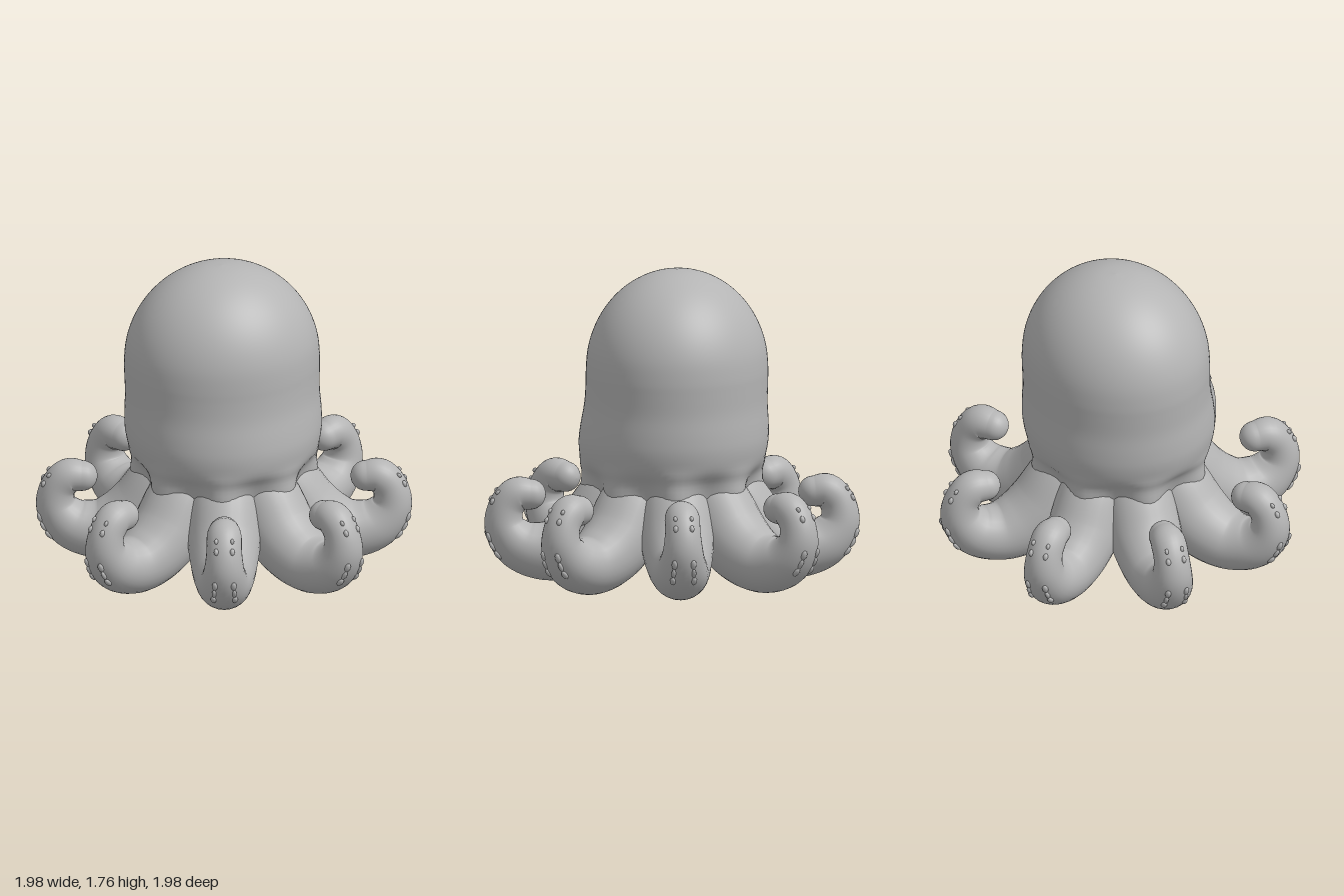
import * as THREE from 'three';
import { mergeGeometries } from 'three/addons/utils/BufferGeometryUtils.js';

const { smoothstep, lerp } = THREE.MathUtils;

// Smooth skin over closed rings; point(i, angle) gives the vertex of ring i
function skin(rows, cols, point) {
  const pos = [], index = [];
  for (let i = 0; i < rows; i++) {
    for (let j = 0; j < cols; j++) {
      pos.push(...point(i, (j / cols) * Math.PI * 2).toArray());
      if (i === rows - 1) continue;
      const k = (j + 1) % cols;
      const a = i * cols + j, b = i * cols + k;
      index.push(a, b, b + cols, a, b + cols, a + cols);
    }
  }
  const g = new THREE.BufferGeometry();
  g.setAttribute('position', new THREE.Float32BufferAttribute(pos, 3));
  g.setIndex(index);
  g.computeVertexNormals();
  return g;
}

// Head and body: slightly oval, with eight ridges low down that run into the arms
function bodyGeometry() {
  const profile = [
    [0.001, 0.24], [0.2, 0.25], [0.36, 0.3], [0.42, 0.4], [0.44, 0.5], [0.475, 0.6],
    [0.53, 0.68], [0.555, 0.78], [0.558, 0.88], [0.552, 1.0], [0.555, 1.12],
  ].map(([r, y]) => new THREE.Vector2(r, y));
  for (let k = 0; k <= 8; k++) {
    const a = (k / 8) * Math.PI / 2;
    profile.push(new THREE.Vector2(Math.max(0.556 * Math.cos(a), 0.001), 1.2 + 0.56 * Math.sin(a)));
  }
  const points = new THREE.SplineCurve(profile).getPoints(72);
  return skin(points.length, 96, (i, a) => {
    const { x, y } = points[i];
    const high = smoothstep(y, 0.55, 1.2);
    const ridge = (1 - Math.cos(8 * a)) / 2 * (1 - smoothstep(y, 0.48, 0.72));
    const r = Math.max(x, 0.001) * (1 + 0.2 * ridge);
    return new THREE.Vector3(r * Math.sin(a), y, r * Math.cos(a) * lerp(0.97, 0.91, high) - 0.03 * high);
  });
}

// Arm centre line: distance from the axis, height, thickness
const armPath = new THREE.CatmullRomCurve3([
  [0.2, 0.62, 0.16], [0.34, 0.45, 0.195], [0.45, 0.29, 0.205], [0.59, 0.195, 0.187],
  [0.72, 0.165, 0.165], [0.86, 0.205, 0.143], [0.94, 0.31, 0.115], [0.93, 0.42, 0.1],
  [0.87, 0.487, 0.098], [0.795, 0.487, 0.086],
].map(p => new THREE.Vector3(...p)));

// Centre, tangent, outward normal and thickness along an arm that points to +z
function armFrame(t) {
  const p = armPath.getPoint(t);
  const d = armPath.getPoint(Math.min(t + 0.002, 1)).sub(armPath.getPoint(Math.max(t - 0.002, 0)));
  const tangent = new THREE.Vector3(0, d.y, d.x).normalize();
  const normal = new THREE.Vector3(0, -tangent.z, tangent.y);
  return { center: new THREE.Vector3(0, p.y, p.x), tangent, normal, radius: p.z };
}

const side = new THREE.Vector3(1, 0, 0);

// Tapering curled arm with a round tip
function armGeometry() {
  const steps = 54, cap = 8;
  return skin(steps + cap + 1, 28, (i, a) => {
    const f = armFrame(Math.min(i / steps, 1));
    let r = f.radius;
    if (i > steps) {
      const c = ((i - steps) / cap) * Math.PI / 2;
      f.center.addScaledVector(f.tangent, r * Math.sin(c));
      r = Math.max(r * Math.cos(c), 0.0005);
    }
    return f.center.addScaledVector(f.normal, r * Math.cos(a)).addScaledVector(side, r * Math.sin(a));
  });
}

// Two rows of small bumps on the outer side of the curl
function bumpsGeometry() {
  const spots = [[5.33, 0.017, 0.03], [5.6, 0.013, 0.032], [5.87, 0.017, 0.03],
    [7.0, 0.014, 0.02], [7.4, 0.011, 0.016]];
  const parts = [];
  for (const s of [-1, 1]) {
    for (const [at, width, length] of spots) {
      const f = armFrame(at / 9);
      const out = f.normal.clone().multiplyScalar(Math.cos(0.47)).addScaledVector(side, s * Math.sin(0.47));
      const across = new THREE.Vector3().crossVectors(out, f.tangent);
      const g = new THREE.SphereGeometry(1, 12, 8);
      g.scale(width, 0.014, length);
      g.applyMatrix4(new THREE.Matrix4().makeBasis(across, out, f.tangent)
        .setPosition(f.center.addScaledVector(out, f.radius)));
      parts.push(g);
    }
  }
  return mergeGeometries(parts);
}

export function createModel() {
  const grey = new THREE.MeshStandardMaterial({ color: 0xb4b4b4 });
  grey.name = 'grey skin';
  const add = (parent, name, geometry) => {
    const mesh = new THREE.Mesh(geometry, grey);
    mesh.name = name;
    parent.add(mesh);
  };

  const model = new THREE.Group();
  model.name = 'octopus';
  add(model, 'headAndBody', bodyGeometry());

  // Eight arms around the body
  const arm = armGeometry(), bumps = bumpsGeometry();
  for (let k = 0; k < 8; k++) {
    const group = new THREE.Group();
    group.name = `arm${k + 1}`;
    group.rotation.y = (k + 0.5) * Math.PI / 4;
    add(group, 'tentacle', arm);
    add(group, 'suckers', bumps);
    model.add(group);
  }
  return model;
}
